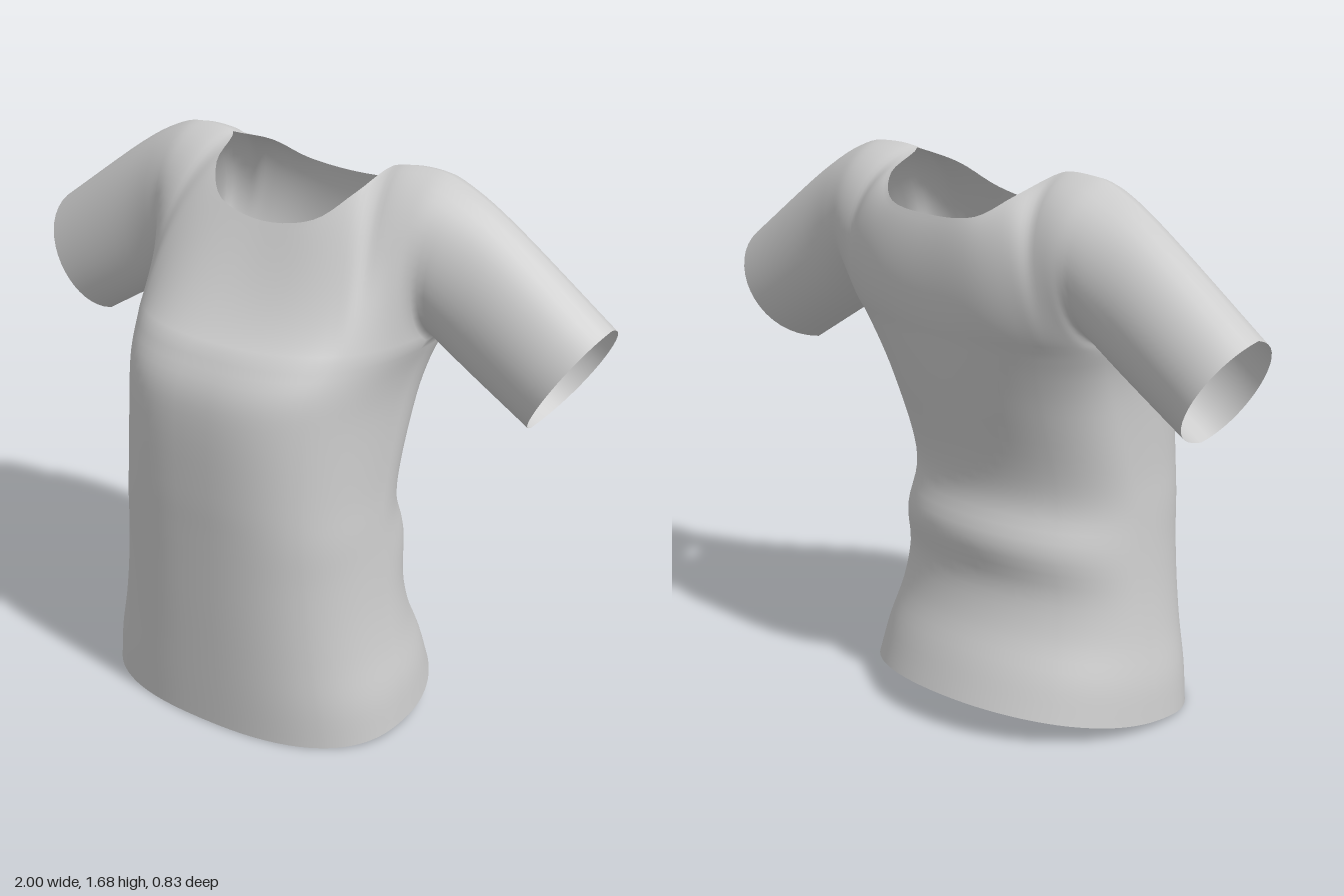
import * as THREE from 'three';
import { mergeVertices } from 'three/addons/utils/BufferGeometryUtils.js';

const V = (x, y, z) => new THREE.Vector3(x, y, z);
const spline = pts => new THREE.CatmullRomCurve3(pts, false, 'catmullrom', 0.5);
const spow = (v, p) => Math.sign(v) * Math.abs(v) ** p;
const ARMPIT_Y = 1.2, STEPS = 5;

// Torso levels: height, half width, front z, back z, side-seam z,
// then front and back roundness (1 = elliptical, less = boxier)
const levels = [
  [0, 0.51, 0.385, -0.41, 0.04, 0.83, 0.95], [0.12, 0.495, 0.39, -0.365, 0.04, 0.82, 0.97],
  [0.25, 0.465, 0.395, -0.31, 0.04, 0.81, 1], [0.38, 0.443, 0.40, -0.285, 0.04, 0.8, 1],
  [0.52, 0.428, 0.405, -0.305, 0.04, 0.79, 0.97], [0.65, 0.418, 0.41, -0.268, 0.05, 0.78, 1],
  [0.78, 0.412, 0.415, -0.28, 0.02, 0.77, 0.98], [0.98, 0.415, 0.415, -0.335, -0.04, 0.76, 0.9],
  [1.1, 0.43, 0.395, -0.365, -0.09, 0.76, 0.85], [ARMPIT_Y, 0.46, 0.335, -0.388, -0.14, 0.8, 0.83],
];
const sizeCurve = spline(levels.map(l => V(l[1], l[2], l[3])));
const seamCurve = spline(levels.map(l => V(l[0], l[4], 0)));
const roundCurve = spline(levels.map(l => V(l[5], l[6], 0)));

// Point on the torso: s runs -1..1 from side to side, t runs hem to armpit
function torsoPoint(s, t, back) {
  const a = s * Math.PI / 2, c = Math.max(Math.cos(a), 0);
  const { x: w, y: zf, z: zb } = sizeCurve.getPoint(t);
  const { x: h, y: zs } = seamCurve.getPoint(t);
  const { x: pf, y: pb } = roundCurve.getPoint(t);
  const k = back ? -c : c, p = back ? pb : pf;
  const hem = 0.02 - 0.0525 * k + 0.0325 * k * k; // hem rises to the back
  const depth = (back ? zb : zf) - zs;
  return V(w * spow(Math.sin(a), p), hem + h * (ARMPIT_Y - hem) / ARMPIT_Y,
    zs + depth * spow(c, p));
}

// Stations from the centre out to the cuff: s, then lower control,
// upper control and top edge (neckline or shoulder ridge)
const stationS = [0, 0.25, 0.5, 0.65, 0.82, 1, 1.4, 2];
const frontStations = [
  [V(0, 1.28, 0.22), V(0, 1.40, 0.14), V(0, 1.51, 0.075)],
  [V(0.2, 1.29, 0.205), V(0.18, 1.44, 0.125), V(0.165, 1.54, 0.055)],
  [V(0.34, 1.3, 0.16), V(0.29, 1.52, 0.08), V(0.25, 1.615, -0.03)],
  [V(0.39, 1.3, 0.12), V(0.345, 1.61, 0.045), V(0.29, 1.67, -0.16)],
  [V(0.43, 1.3, 0.075), V(0.42, 1.63, 0.04), V(0.4, 1.68, -0.17)],
  [V(0.465, 1.28, 0.045), V(0.495, 1.6, 0.04), V(0.5, 1.66, -0.175)],
  [V(0.59, 1.17, 0.02), V(0.65, 1.51, 0.02), V(0.665, 1.57, -0.18)],
  [V(0.82, 1.04, 0.02), V(0.97, 1.28, 0.02), V(1, 1.33, -0.18)],
];
const backStations = [
  [V(0, 1.3, -0.42), V(0, 1.45, -0.425), V(0, 1.545, -0.385)],
  [V(0.2, 1.3, -0.42), V(0.19, 1.47, -0.425), V(0.165, 1.56, -0.375)],
  [V(0.34, 1.32, -0.405), V(0.3, 1.56, -0.41), V(0.25, 1.62, -0.3)],
  [V(0.39, 1.32, -0.405), V(0.35, 1.63, -0.405), V(0.29, 1.67, -0.16)],
  [V(0.43, 1.31, -0.405), V(0.42, 1.64, -0.405), V(0.4, 1.68, -0.17)],
  [V(0.465, 1.28, -0.4), V(0.495, 1.6, -0.4), V(0.5, 1.66, -0.175)],
  [V(0.59, 1.17, -0.38), V(0.65, 1.51, -0.38), V(0.665, 1.57, -0.18)],
  [V(0.82, 1.04, -0.38), V(0.97, 1.28, -0.38), V(1, 1.33, -0.18)],
];
const mirrored = (list, flip) => [...list.slice(1).reverse().map(flip), ...list];
const allS = mirrored(stationS, s => -s);
const makeCurves = stations => [0, 1, 2].map(i =>
  spline(mirrored(stations.map(st => st[i]), p => V(-p.x, p.y, p.z))));
const frontCurves = makeCurves(frontStations), backCurves = makeCurves(backStations);

// Columns across the garment, cuff to cuff
const columns = [];
const spans = allS.length - 1;
for (let i = 0; i <= spans * STEPS; i++) {
  const k = Math.min(Math.floor(i / STEPS), spans - 1);
  columns.push({ u: i / (spans * STEPS),
    s: THREE.MathUtils.lerp(allS[k], allS[k + 1], i / STEPS - k) });
}

// Point on the yoke and sleeves: t runs from armpit line to the top edge
function yokePoint({ u, s }, t, back) {
  const [low, high, top] = (back ? backCurves : frontCurves).map(c => c.getPoint(u));
  if (Math.abs(s) > 0.649) // shared shoulder ridge
    top.copy(frontCurves[2].getPoint(u)).lerp(backCurves[2].getPoint(u), 0.5);
  let base;
  if (Math.abs(s) <= 1.0001) base = torsoPoint(s, 1, back);
  else { // straight underarm seam
    base = V(0.46, ARMPIT_Y, -0.14).lerp(V(0.79, 1.0, -0.14), Math.abs(s) - 1);
    base.x *= Math.sign(s);
  }
  return new THREE.CubicBezierCurve3(base, low, high, top).getPoint(t);
}

function createModel() {
  const positions = [], index = [];
  // Adds a panel of quads, wound to face outward
  function addPanel(cols, rows, pointAt, back) {
    const start = positions.length / 3, n = rows + 1;
    cols.forEach(col => {
      for (let j = 0; j <= rows; j++) positions.push(...pointAt(col, j / rows, back).toArray());
    });
    for (let i = 0; i < cols.length - 1; i++) for (let j = 0; j < rows; j++) {
      const a = start + i * n + j, b = a + n, c = b + 1, d = a + 1;
      index.push(...(back ? [a, c, b, a, d, c] : [a, b, c, a, c, d]));
    }
  }
  const torsoColumns = columns.filter(c => Math.abs(c.s) <= 1.0001);
  for (const back of [false, true]) {
    addPanel(torsoColumns, 36, (c, t, b) => torsoPoint(c.s, t, b), back);
    addPanel(columns, 18, yokePoint, back);
  }
  // Weld the panels so the cloth shades smoothly across the seams
  let geometry = new THREE.BufferGeometry();
  geometry.setAttribute('position', new THREE.Float32BufferAttribute(positions, 3));
  geometry.setIndex(index);
  geometry = mergeVertices(geometry, 1e-4);
  geometry.computeVertexNormals();

  const shirt = new THREE.Mesh(geometry,
    new THREE.MeshStandardMaterial({ color: 0xcccccc, side: THREE.DoubleSide }));
  shirt.name = 'shirt';
  const group = new THREE.Group();
  group.name = 'shortSleevedTop';
  group.add(shirt);
  return group;
}

export { createModel };
